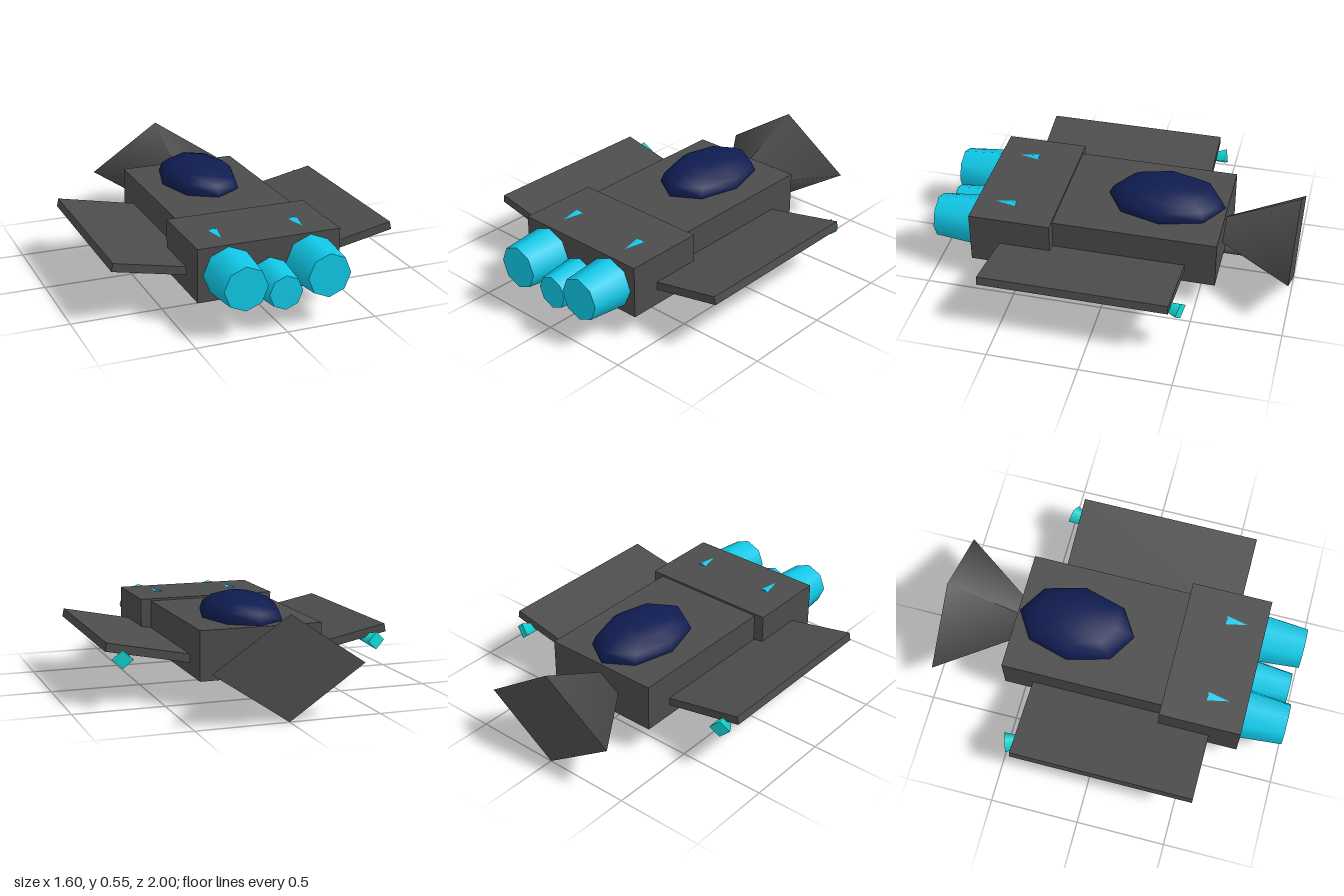
import * as THREE from 'three';

const paint = (color) => new THREE.MeshStandardMaterial({ color });

export function createModel() {
  const model = new THREE.Group();
  const hull = paint(0x4c4c4c);
  const glow = paint(0x10c8e8);
  const tipGlow = paint(0x10dcd8);
  const glass = paint(0x0f1c50);

  const add = (name, geometry, material, x, y, z, parent = model) => {
    const mesh = new THREE.Mesh(geometry, material);
    mesh.name = name;
    mesh.position.set(x, y, z);
    parent.add(mesh);
    return mesh;
  };
  // Cylinder along z: rFront at +z, rBack at -z
  const barrel = (rFront, rBack, length, sides) =>
    new THREE.CylinderGeometry(rFront, rBack, length, sides).rotateX(Math.PI / 2);

  // Fuselage and the larger engine housing
  add('fuselage', new THREE.BoxGeometry(0.68, 0.27, 0.96), hull, 0, 0.277, -0.12);
  add('engineHousing', new THREE.BoxGeometry(0.8, 0.295, 0.457), hull, 0, 0.277, 0.54);

  // Faceted canopy, lower half sunk into the fuselage
  add('canopy', new THREE.SphereGeometry(1, 8, 8).scale(0.22, 0.125, 0.33), glass, 0, 0.42, -0.26);

  // Four-sided flared scoop, with its apex inside the fuselage
  add('scoop', barrel(0, 1, 0.58, 4).scale(0.41, 0.275, 1), hull, 0, 0.275, -0.71);
  add('bellyBarrel', barrel(0.025, 0.025, 0.23, 8), hull, 0, 0.133, -0.655);

  // Three octagonal engines
  for (const side of [-1, 1]) {
    add('sideEngine', barrel(0.12, 0.16, 0.455, 8), glow, side * 0.23, 0.275, 0.7725);
  }
  add('middleEngine', barrel(0.093, 0.135, 0.4, 8), glow, 0, 0.207, 0.775);

  // Upswept wings with an under-wing pod and a tip cone
  for (const side of [-1, 1]) {
    const assembly = new THREE.Group();
    assembly.name = side > 0 ? 'leftWingAssembly' : 'rightWingAssembly';
    model.add(assembly);

    const wing = add('wing', new THREE.BoxGeometry(0.487, 0.046, 1.03), hull, side * 0.558, 0.274, 0.085, assembly);
    wing.rotation.z = side * 0.199;

    add('wingPod', new THREE.BoxGeometry(0.068, 0.055, 0.185), hull, side * 0.5, 0.2275, -0.025, assembly);

    const cone = add('wingTipCone', barrel(0, 1, 0.2, 4).scale(0.0575, 0.049, 1), tipGlow,
      side * 0.69, 0.262, -0.386, assembly);
    cone.rotation.y = side * -0.308;
  }
  return model;
}
